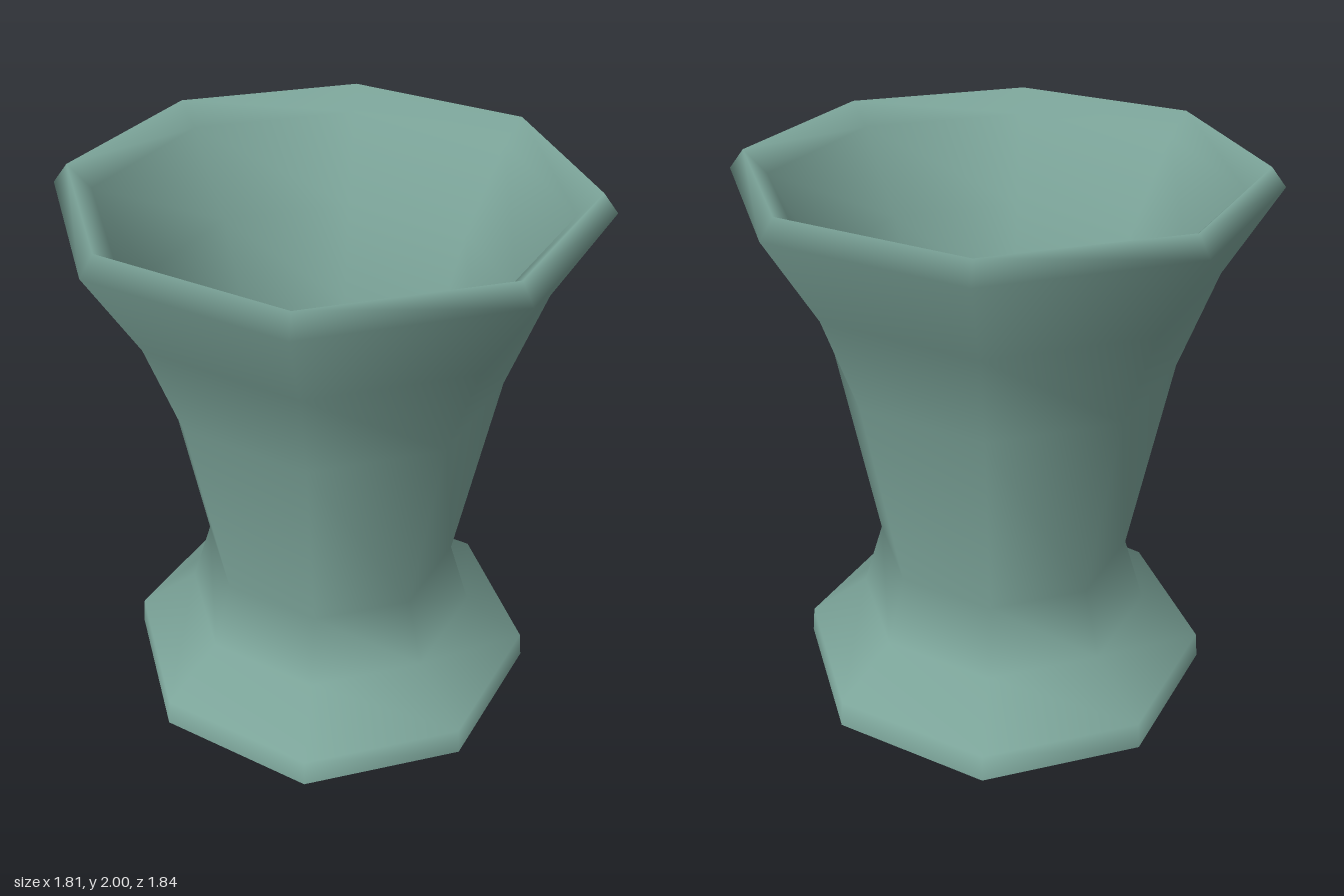
import * as THREE from 'three';

const SIDES = 8;

export function createModel() {
  const group = new THREE.Group();
  group.name = 'octagonalVase';
  const glaze = new THREE.MeshStandardMaterial({ color: 0x7da69b });
  glaze.name = 'sage green glaze';

  // Revolve a [radius, height] profile into an eight-sided smooth surface
  const turn = (name, profile) => {
    const points = profile.map(([r, y]) => new THREE.Vector2(r, y));
    const mesh = new THREE.Mesh(new THREE.LatheGeometry(points, SIDES), glaze);
    mesh.name = name;
    mesh.scale.z = 1.015;
    group.add(mesh);
  };

  // Foot, neck, flared body, rolled lip and hollow interior in one skin
  turn('vaseWall', [
    [0.76, 0.02], [0.75, 0.12], [0.535, 0.285], [0.46, 0.535],
    [0.6, 1.28], [0.725, 1.63], [0.905, 1.935], [0.855, 2.0],
    [0.78, 1.92], [0.62, 1.62], [0.5, 1.28], [0.36, 0.55],
  ]);

  // Slightly domed underside
  turn('underside', [[0, 0.0], [0.76, 0.02]]);

  // Flat floor inside the vase
  turn('innerFloor', [[0.36, 0.55], [0, 0.55]]);

  return group;
}
